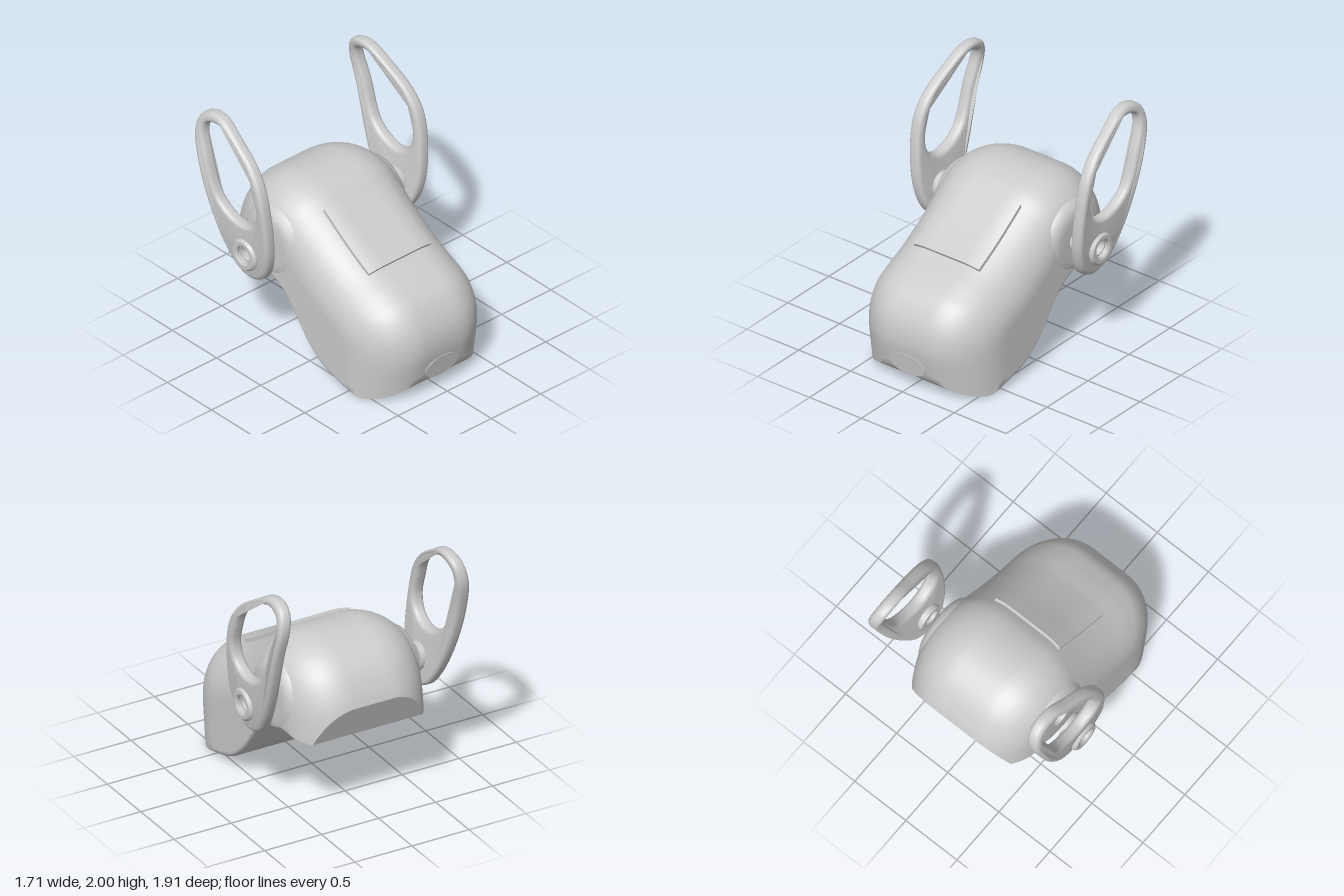
import * as THREE from 'three';
import { toCreasedNormals } from 'three/addons/utils/BufferGeometryUtils.js';

const FLAT = 0.165, R = 0.42, HALF = FLAT + R; // flat crown, side fillet, half width
const PIVOT = { y: 0.92, z: -0.38 };
const CORNER = -0.84; // z where the underside meets the rear cut

const curve = (pts, closed = false) =>
  new THREE.CatmullRomCurve3(pts.map(([z, y]) => new THREE.Vector3(0, y, z)), closed);

// Side profiles as [z, y]: the crown along the middle, and the rim of the flat side wall
const crown = curve([[.87, -.1], [.92, .15], [.96, .4], [.93, .58], [.82, .75], [.68, .84], [.45, .95], [.2, 1.1],
  [0, 1.24], [-.15, 1.34], [-.36, 1.39], [-.58, 1.36], [-.78, 1.24], [-.9, 1.07], [-.96, .9], [-1, .6]]);
const rim = curve([[.48, -.1], [.49, .15], [.49, .36], [.48, .43], [.45, .48], [.39, .52], [.24, .59], [-.02, .76],
  [-.2, .92], [-.29, 1.01], [-.38, 1.04], [-.46, 1.02], [-.51, .95], [-.54, .87], [-.55, .78], [-.58, .5]]);
const under = curve([[1, .36], [.94, .2], [.9, .115], [.82, .05], [.64, 0], [.45, .03], [.22, .11], [.05, .25],
  [-.02, .335], [-.175, .53], [-.38, .65], [-.5, .69], [-.65, .7], [CORNER, .69]]).getPoints(120);

// Height of the underside, including the rear cut
function underside(z) {
  if (z <= CORNER) return 0.69 + (CORNER - z) * 2.67;
  for (let i = 1; i < under.length; i++) {
    const a = under[i - 1], b = under[i];
    if (z >= b.z) return a.y + (b.y - a.y) * (z - a.z) / (b.z - a.z);
  }
  return 0.69;
}

// Upper surface: crown and rim joined by a quarter-round
function upper(x, u, lift = 0) {
  const s = Math.min(1, Math.max(0, (Math.abs(x) - FLAT) / R));
  const t = crown.getPoint(u), r = rim.getPoint(u);
  const out = t.clone().sub(r).normalize();
  const p = t.lerp(r, 1 - Math.sqrt(1 - s * s)).addScaledVector(out, lift);
  p.x = x;
  return p;
}

// Skin a list of equal-length rows of points
function skin(rows, closed) {
  const n = rows[0].length, index = [];
  for (let j = 0; j + 1 < rows.length; j++) {
    for (let k = 0; k < (closed ? n : n - 1); k++) {
      const a = j * n + k, b = j * n + (k + 1) % n;
      index.push(a, a + n, b + n, a, b + n, b);
    }
  }
  const g = new THREE.BufferGeometry().setFromPoints(rows.flat());
  g.setIndex(index);
  return toCreasedNormals(g, 0.6);
}

// Closed outline of the body at one x
function bodySlice(x) {
  const edge = 0.04, q = Math.min(1, Math.max(0, (Math.abs(x) - HALF + edge) / edge));
  const raise = edge * (1 - Math.sqrt(1 - q * q));
  const cross = (outside) => {
    let a = outside, b = 0.5;
    for (let i = 0; i < 30; i++) {
      const m = (a + b) / 2, p = upper(x, m);
      if (p.y > underside(p.z) + raise) b = m; else a = m;
    }
    return b;
  };
  const u0 = cross(0), u1 = cross(1), ring = [];
  for (let i = 0; i <= 70; i++) ring.push(upper(x, u0 + (u1 - u0) * i / 70));
  const z0 = ring[0].z, z1 = ring[70].z, c = Math.max(z1, CORNER);
  const add = (z) => ring.push(new THREE.Vector3(x, underside(z) + raise, z));
  for (let i = 1; i <= 6; i++) add(z1 + (c - z1) * i / 6);
  for (let i = 1; i < 50; i++) add(c + (z0 - c) * Math.sin(i / 50 * Math.PI / 2));
  return ring;
}

// Thickness-centred bend of the ear plates, by height
const bendPath = new THREE.SplineCurve([[.68, .722], [1, .768], [1.45, .8], [1.75, .788], [2, .745]]
  .map(([y, x]) => new THREE.Vector2(y, x))).getPoints(60);
function bend(y) {
  let i = 1;
  while (i < 60 && bendPath[i].x < y) i++;
  const a = bendPath[i - 1], b = bendPath[i];
  return a.y + (b.y - a.y) * (y - a.x) / (b.x - a.x);
}

function earGeometry(side) {
  const loop = (pts, n) => curve(pts, true).getPoints(n).slice(0, -1).map((p) => new THREE.Vector2(-p.z, p.y));
  const shape = new THREE.Shape(loop([[-.13, 1.19], [-.19, 1.56], [-.31, 1.74], [-.52, 1.89], [-.68, 1.985], [-.81, 1.99],
    [-.91, 1.93], [-.95, 1.8], [-.89, 1.53], [-.77, 1.16], [-.63, .87], [-.52, .73], [-.37, .68], [-.23, .75], [-.15, .92]], 110));
  shape.holes.push(new THREE.Path(loop([[-.24, 1.36], [-.28, 1.24], [-.4, 1.175], [-.55, 1.2], [-.665, 1.28], [-.72, 1.37],
    [-.79, 1.58], [-.86, 1.8], [-.84, 1.88], [-.73, 1.92], [-.6, 1.88], [-.4, 1.745], [-.325, 1.65], [-.28, 1.53]], 90)));
  shape.holes.push(new THREE.Path().absarc(-PIVOT.z, PIVOT.y, 0.095, 0, Math.PI * 2, true));
  const g = new THREE.ExtrudeGeometry(shape, { depth: 0.03, steps: 1, curveSegments: 24,
    bevelThickness: 0.037, bevelSize: 0.035, bevelOffset: -0.035, bevelSegments: 5 });
  g.translate(0, 0, -0.015).rotateY(Math.PI / 2);
  const p = g.attributes.position;
  for (let i = 0; i < p.count; i++) p.setX(i, p.getX(i) + side * bend(p.getY(i)));
  return toCreasedNormals(g, 0.7);
}

// Lathe around the pivot axis, from [radius, distance from centre]
function pivotLathe(side, pts, crease) {
  const g = new THREE.LatheGeometry(pts.map(([r, d]) => new THREE.Vector2(r, d)), 48);
  g.rotateZ(-side * Math.PI / 2).translate(0, PIVOT.y, PIVOT.z);
  return toCreasedNormals(g, crease);
}

export function createModel() {
  const group = new THREE.Group();
  const grey = new THREE.MeshStandardMaterial({ color: 0xcccccc });
  const double = new THREE.MeshStandardMaterial({ color: 0xcccccc, side: THREE.DoubleSide });
  const add = (name, geometry, material = grey) => {
    const mesh = new THREE.Mesh(geometry, material);
    mesh.name = name;
    group.add(mesh);
    return mesh;
  };

  // Body shell
  const xs = [];
  for (let i = 0; i <= 20; i++) xs.push(FLAT + R * Math.sin(i / 20 * Math.PI / 2));
  const slices = [...xs.map((x) => -x).reverse(), ...xs].map(bodySlice);
  add('body', skin(slices, true));

  // Raised top panel following the crown, with a skirt
  const panel = [], W = 0.315, U0 = 5.92 / 15, U1 = 8.3 / 15;
  for (let j = -1; j <= 25; j++) {
    const row = [], x = -W + 2 * W * Math.min(24, Math.max(0, j)) / 24;
    for (let k = -1; k <= 17; k++) {
      const border = j < 0 || j > 24 || k < 0 || k > 16;
      const u = U0 + (U1 - U0) * Math.min(16, Math.max(0, k)) / 16;
      row.push(upper(x, u, border ? -0.02 : 0.028));
    }
    panel.push(row);
  }
  add('topPanel', skin(panel, false));

  // Oval badge on the nose
  const oval = new THREE.CylinderGeometry(0.168, 0.168, 0.05, 48).rotateX(Math.PI / 2).scale(1, 0.56, 1);
  const badge = add('noseOval', oval);
  badge.position.set(0, 0.215, 0.915);
  badge.rotation.x = 0.16;

  // Bore through the body along the pivot axis
  const bore = new THREE.CylinderGeometry(0.085, 0.085, 1.19, 48, 1, true).rotateZ(Math.PI / 2);
  add('pivotBore', bore.translate(0, PIVOT.y, PIVOT.z), double);

  for (const side of [1, -1]) {
    const tag = side > 0 ? 'left' : 'right';

    // Flat side wall with the bore hole
    const wall = new THREE.Shape(bodySlice(HALF).map((p) => new THREE.Vector2(-side * p.z, p.y)));
    wall.holes.push(new THREE.Path().absarc(-side * PIVOT.z, PIVOT.y, 0.085, 0, Math.PI * 2, true));
    add(tag + 'SideWall', new THREE.ShapeGeometry(wall, 24).rotateY(side * Math.PI / 2).translate(side * HALF, 0, 0));

    // Rounded boss, trimmed where it would hang below the body
    const boss = pivotLathe(side, [[.34, .4], [.325, .47], [.305, .53], [.275, .57], [.235, .59], [.19, .595], [.085, .595]], 1);
    const p = boss.attributes.position;
    for (let i = 0; i < p.count; i++) p.setY(i, Math.max(p.getY(i), underside(p.getZ(i)) + 0.015));
    add(tag + 'Boss', boss);

    // Ear loop and its hollow hub
    add(tag + 'Ear', earGeometry(side));
    add(tag + 'Hub', pivotLathe(side, [[.07, .67], [.115, .67], [.115, .815], [.132, .815], [.132, .825],
      [.115, .845], [.085, .845], [.07, .835], [.07, .67]], 0.5));
  }
  return group;
}
